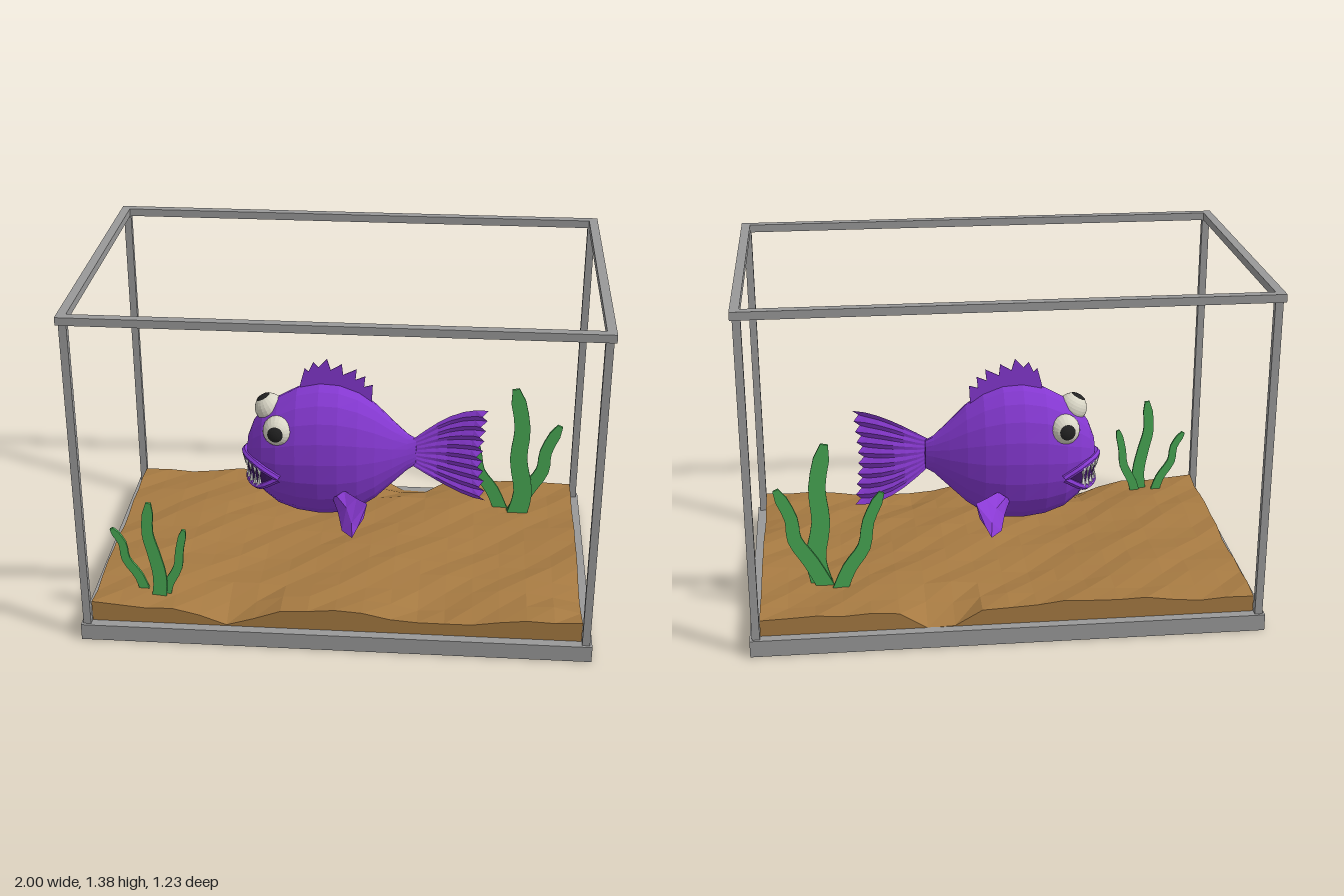
import * as THREE from 'three';

const mat = (name, color, extra = {}) =>
  Object.assign(new THREE.MeshStandardMaterial({ color, flatShading: true, ...extra }), { name });
const V = (x, y, z) => new THREE.Vector3(x, y, z);

function add(parent, name, geometry, material, x = 0, y = 0, z = 0) {
  const mesh = new THREE.Mesh(geometry, material);
  mesh.name = name;
  mesh.position.set(x, y, z);
  parent.add(mesh);
  return mesh;
}

// Surface through equal-length rows of points
function loft(rows) {
  const n = rows[0].length, index = [];
  for (let i = 0; i < rows.length - 1; i++) {
    for (let j = 0; j < n - 1; j++) {
      const a = i * n + j, b = a + n;
      index.push(a, a + 1, b, a + 1, b + 1, b);
    }
  }
  const g = new THREE.BufferGeometry().setFromPoints(rows.flat());
  g.setIndex(index);
  g.computeVertexNormals();
  return g;
}

// Flat wavy leaf following a spline, tapering to a rounded tip
function leaf(points, width, depth) {
  const curve = new THREE.CatmullRomCurve3(points.map(([x, y]) => V(x, y, 0)));
  const left = [], right = [], n = 12;
  for (let i = 0; i <= n; i++) {
    const t = i / n, p = curve.getPoint(t), d = curve.getTangent(t);
    const w = width / 2 * (1 - 0.3 * t) * (i === n ? 0.5 : 1);
    left.push(new THREE.Vector2(p.x - d.y * w, p.y + d.x * w));
    right.unshift(new THREE.Vector2(p.x + d.y * w, p.y - d.x * w));
  }
  return new THREE.ExtrudeGeometry(new THREE.Shape([...left, ...right]), { depth, bevelEnabled: false });
}

// Gravel height: soft ripples with a few hollows
function gravelHeight(x, z) {
  const hollow = (cx, cz, r, d) => d * Math.exp(-((x - cx) ** 2 + (z - cz) ** 2) / (r * r));
  return 0.142 + 0.008 * Math.sin(7 * x + 3 * z) + 0.007 * Math.sin(11 * z - 5 * x + 1) +
    0.006 * Math.sin(19 * x + 23 * z) -
    hollow(-0.4, 0.575, 0.13, 0.06) - hollow(0.965, 0.37, 0.12, 0.05) -
    hollow(0.27, -0.575, 0.12, 0.085) - hollow(0.35, 0.5, 0.15, 0.02);
}

export function createModel() {
  const model = new THREE.Group();
  model.name = 'fishTank';
  const grey = mat('frame grey', 0x999999);
  const sand = mat('gravel brown', 0xa67a42);
  const green = mat('plant green', 0x48a854);
  const purple = mat('fish purple', 0x8438d0);
  const fin = mat('fin purple', 0x8a3ad4, { side: THREE.DoubleSide });
  const dark = mat('mouth dark purple', 0x3c1860, { side: THREE.DoubleSide });
  const eyeWhite = mat('eye cream', 0xd9d6c6);
  const black = mat('pupil black', 0x222222);
  const white = mat('tooth white', 0xf4f4f0);

  // Tank: base, four posts and top rim
  const tank = new THREE.Group();
  tank.name = 'tank';
  model.add(tank);
  add(tank, 'base', new THREE.BoxGeometry(2, 0.067, 1.226), grey, 0, 0.0335, 0);
  for (const x of [-0.976, 0.976]) {
    for (const z of [-0.589, 0.589]) {
      add(tank, 'post', new THREE.BoxGeometry(0.03, 1.28, 0.026), grey, x, 0.707, z);
    }
  }
  const rect = (C, x, z) => new C([[-x, -z], [x, -z], [x, z], [-x, z]].map(p => new THREE.Vector2(...p)));
  const rim = rect(THREE.Shape, 1, 0.613);
  rim.holes.push(rect(THREE.Path, 0.965, 0.577));
  add(tank, 'topRim', new THREE.ExtrudeGeometry(rim, { depth: 0.031, bevelEnabled: false }).rotateX(-Math.PI / 2),
    grey, 0, 1.345, 0);

  // Gravel bed
  const bed = new THREE.BoxGeometry(1.92, 0.1, 1.148, 18, 1, 11);
  const bp = bed.attributes.position;
  for (let i = 0; i < bp.count; i++) {
    bp.setY(i, bp.getY(i) > 0 ? gravelHeight(bp.getX(i), bp.getZ(i)) : 0.05);
  }
  bed.computeVertexNormals();
  add(model, 'gravel', bed, sand);

  // Water plants: [z, width, centre line]
  const plants = [
    [0.443, 0.04, [[-0.76, 0.1], [-0.79, 0.2], [-0.84, 0.28], [-0.85, 0.35], [-0.89, 0.415]]],
    [0.477, 0.058, [[-0.71, 0.1], [-0.7, 0.22], [-0.72, 0.33], [-0.74, 0.42], [-0.73, 0.555]]],
    [0.459, 0.042, [[-0.69, 0.1], [-0.67, 0.18], [-0.63, 0.26], [-0.62, 0.34], [-0.6, 0.43]]],
    [-0.341, 0.06, [[0.66, 0.1], [0.61, 0.22], [0.55, 0.31], [0.53, 0.42], [0.475, 0.54]]],
    [-0.294, 0.086, [[0.71, 0.1], [0.74, 0.24], [0.715, 0.4], [0.725, 0.55], [0.69, 0.73]]],
    [-0.314, 0.066, [[0.69, 0.1], [0.76, 0.24], [0.82, 0.34], [0.83, 0.43], [0.885, 0.555]]],
  ];
  for (const [z, width, line] of plants) add(model, 'waterPlant', leaf(line, width, 0.011), green, 0, 0, z);

  // Fish
  const fish = new THREE.Group();
  fish.name = 'fish';
  fish.position.z = -0.02;
  model.add(fish);

  // Body sections: x, top, bottom, half width
  const sections = [
    [-0.41, 0.55, 0.54, 0.003], [-0.405, 0.61, 0.47, 0.04], [-0.38, 0.68, 0.41, 0.08], [-0.34, 0.735, 0.36, 0.112],
    [-0.28, 0.785, 0.31, 0.136], [-0.2, 0.83, 0.28, 0.15], [-0.11, 0.85, 0.267, 0.154], [-0.03, 0.845, 0.272, 0.149],
    [0.05, 0.815, 0.295, 0.132], [0.12, 0.765, 0.345, 0.105], [0.19, 0.695, 0.415, 0.068],
    [0.25, 0.64, 0.475, 0.032], [0.285, 0.62, 0.498, 0.012], [0.287, 0.56, 0.559, 0.001],
  ];
  const body = sections.map(([x, top, bottom, w]) => Array.from({ length: 21 }, (_, j) => {
    const a = j / 20 * Math.PI * 2;
    return V(x, (top + bottom) / 2 + (top - bottom) / 2 * Math.cos(a), w * Math.sin(a));
  }));
  add(fish, 'body', loft(body), purple);

  // Pleated, gently curved tail with a ragged edge
  const tail = [];
  for (let i = 0; i <= 6; i++) {
    const u = i / 6, spread = Math.sin(u * Math.PI / 2);
    tail.push(Array.from({ length: 19 }, (_, j) => {
      const v = j / 18, odd = j % 2;
      const y = THREE.MathUtils.lerp(0.5 - 0.155 * spread, 0.62 + 0.138 * spread, v);
      const x = 0.27 + u * (0.285 + 0.02 * Math.abs(2 * v - 1) - (i === 6 ? 0.022 * odd : 0));
      return V(x, y, 0.01 - 0.025 * Math.sin(u * Math.PI) + 0.006 * u * (odd ? 1 : -1));
    }));
  }
  add(fish, 'tailFin', loft(tail), fin);

  // Spiny dorsal fin
  const spines = [[-0.19, 0.8], [-0.19, 0.84], [-0.17, 0.915], [-0.155, 0.9], [-0.135, 0.942], [-0.115, 0.92],
    [-0.08, 0.958], [-0.065, 0.91], [-0.02, 0.937], [-0.015, 0.89], [0.04, 0.917], [0.035, 0.87],
    [0.075, 0.887], [0.07, 0.84], [0.105, 0.85], [0.1, 0.74]];
  add(fish, 'dorsalFin', new THREE.ExtrudeGeometry(new THREE.Shape(spines.map(p => new THREE.Vector2(...p))),
    { depth: 0.004, bevelEnabled: false }), purple, 0, 0, -0.01);

  // Side fins, eyes and their pupils, mirrored
  function addEye(name, position, direction, radius) {
    const eye = new THREE.Group();
    eye.name = name;
    eye.position.copy(position);
    eye.quaternion.setFromUnitVectors(V(0, 1, 0), direction.normalize());
    fish.add(eye);
    add(eye, 'eyeball', new THREE.SphereGeometry(radius, 20, 14), eyeWhite);
    add(eye, 'pupil', new THREE.SphereGeometry(radius * 1.03, 16, 4, 0, Math.PI * 2, 0, 0.52), black);
  }
  for (const s of [1, -1]) {
    const finRows = [
      [V(-0.05, 0.39, 0.11 * s), V(-0.03, 0.415, 0.14 * s), V(0.0, 0.43, 0.12 * s)],
      [V(-0.02, 0.355, 0.18 * s), V(0.015, 0.395, 0.2 * s), V(0.055, 0.43, 0.18 * s)],
      [V(0.0, 0.318, 0.25 * s), V(0.04, 0.36, 0.26 * s), V(0.1, 0.43, 0.222 * s)],
      [V(0.045, 0.312, 0.295 * s), V(0.065, 0.345, 0.27 * s), V(0.088, 0.375, 0.245 * s)],
    ];
    add(fish, 'sideFin', loft(finRows), fin);
    addEye('sideEye', V(-0.27, 0.68, 0.09 * s), V(-0.12, 0.12, s), 0.063);
  }
  addEye('topEye', V(-0.315, 0.738, 0), V(-0.45, 0.85, 0), 0.06);

  // Open mouth: dark lining, two lips and pointed teeth
  const lip = (midY, frontX, frontY) => new THREE.CatmullRomCurve3([
    V(-0.265, 0.485, 0.142), V(-0.35, midY, 0.118), V(frontX, frontY, 0), V(-0.35, midY, -0.118), V(-0.265, 0.485, -0.142)]);
  const upper = lip(0.53, -0.42, 0.54), lower = lip(0.437, -0.405, 0.435);
  add(fish, 'mouthLining', loft([upper.getPoints(20), lower.getPoints(20)]), dark);
  for (const [name, curve] of [['upperLip', upper], ['lowerLip', lower]]) {
    add(fish, name, new THREE.TubeGeometry(curve, 20, 0.014, 6), purple);
  }
  for (let i = 0; i < 10; i++) {
    const t = 0.24 + 0.52 * i / 9;
    for (const [curve, sign] of [[upper, -1], [lower, 1]]) {
      const p = curve.getPoint(t);
      const tooth = add(fish, 'tooth', new THREE.ConeGeometry(0.014, 0.055, 5), white, p.x, p.y + sign * 0.03, p.z);
      if (sign < 0) tooth.rotation.x = Math.PI;
    }
  }
  return model;
}
